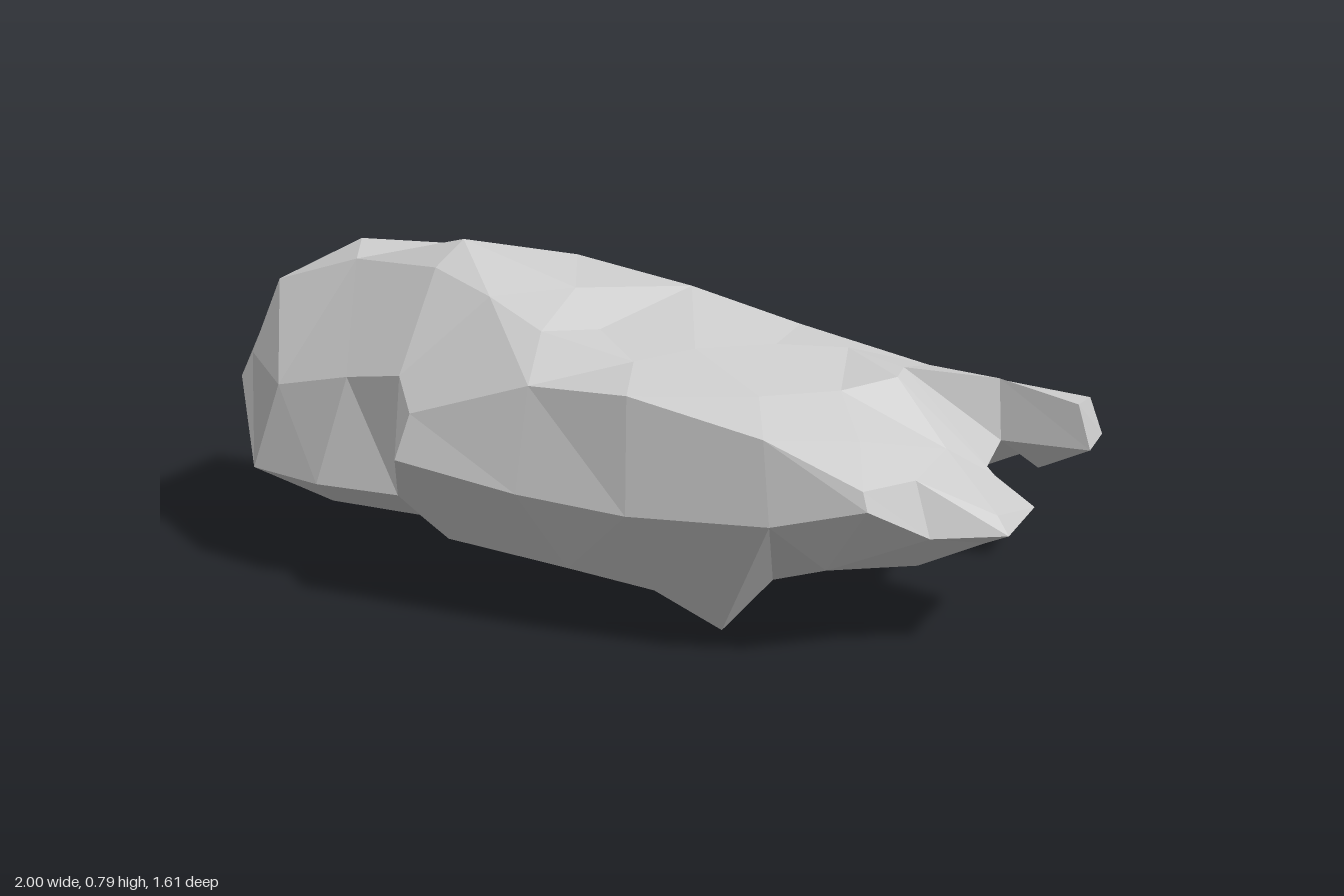
import * as THREE from 'three';

// Outline of the rock: x, z, height of the lower edge, inset scale and height of the upper edge
const RIM = [
  [-1, -.52, .35, .93, .52], [-.81, -.68, .4, .98, .52], [-.57, -.58, .3, .97, .42],
  [-.5, -.67, .36, .95, .48], [-.35, -.76, .33, .95, .4], [-.15, -.72, .28, .96, .36],
  [0, -.81, .25, .98, .31], [.2, -.71, .25, .98, .29], [.45, -.55, .25, .98, .28],
  [.62, -.43, .25, .98, .29], [.66, -.31, .24, .98, .33], [.85, -.13, .29, .99, .33],
  [.85, 0, .22, .98, .4], [1, .15, .31, .97, .4], [.93, .27, .31, .97, .42],
  [.74, .19, .32, .99, .47], [.63, .4, .3, .77, .54], [.72, .52, .27, .9, .33],
  [.6, .72, .28, .97, .32], [.43, .71, .28, .95, .4], [.27, .8, .38, .98, .42],
  [.08, .72, .33, .95, .51], [-.2, .56, .315, .93, .57], [-.42, .42, .33, .9, .56],
  [-.67, .26, .37, .94, .47], [-.66, .15, .25, .98, .53], [-.84, .04, .25, .9, .5],
  [-.98, -.11, .25, .93, .45], [-1, -.3, .42, .97, .48],
];

// Corners of the upper facets: x, y, z
const TOP = [
  [-.48, .79, -.06], [-.72, .72, -.2], [-.9, .65, -.32], [-.7, .73, -.37], [-.66, .65, -.5],
  [-.82, .6, -.5], [-.35, .51, -.6], [-.45, .71, -.35], [-.24, .7, .08], [-.34, .65, .26],
  [-.2, .63, .19], [0, .6, .28], [-.2, .71, -.2], [-.1, .57, -.45], [-.05, .43, -.65],
  [.05, .66, -.05], [.1, .59, -.3], [.2, .44, -.5], [.4, .42, -.35], [.3, .57, 0],
  [.2, .58, .2], [.35, .51, -.15], [.55, .43, -.15], [.6, .47, .05], [.38, .55, .15],
  [.78, .43, .1], [-.15, .6, .36], [.1, .55, .5], [.3, .47, .6], [.3, .53, .42],
  [.52, .41, .5], [.44, .54, .37], [-.55, .74, 0], [-.44, .7, .13], [-.52, .61, -.5],
  [-.25, .62, -.45], [-.2, .47, -.62],
];

// Corners of the lower facets: x, y, z
const BOTTOM = [
  [.03, 0, .46], [-.12, .1, .45], [.14, .12, .48], [-.1, .1, .3], [-.3, .11, .1], [-.3, .13, .36],
  [-.6, .13, -.05], [-.8, .16, -.1], [-.55, .15, .18], [-.85, .2, -.4], [-.75, .22, -.55],
  [-.55, .14, -.4], [.3, .11, .4], [.45, .16, .55], [.58, .23, .62], [.22, .2, .65],
  [.6, .14, -.02], [.85, .23, .14], [.4, .14, -.3], [.15, .17, -.55], [0, .2, -.68],
];

// Diagonal groove under the rock: its back lip, its roof and its front lip
for (let i = 0; i < 9; i++) {
  const s = -.4 + i * .125, rise = (s + .1) ** 2;
  for (const [d, y, shift] of [[.32, .09 + .2 * rise, 0], [.19, .26, .03], [.1, .09 + .14 * rise, -.02]]) {
    BOTTOM.push([(d - s - shift) / Math.SQRT2, y, (-d - s - shift) / Math.SQRT2]);
  }
}

// Circle through three points, seen from above
function circle(a, b, c) {
  const bx = b[0] - a[0], bz = b[2] - a[2], cx = c[0] - a[0], cz = c[2] - a[2];
  const k = 2 * (bx * cz - bz * cx), b2 = bx * bx + bz * bz, c2 = cx * cx + cz * cz;
  const x = (cz * b2 - bz * c2) / k, z = (bx * c2 - cx * b2) / k;
  return { x: a[0] + x, z: a[2] + z, r2: x * x + z * z };
}

// Delaunay facets over a set of points, seen from above
function triangulate(points) {
  const frame = [[-40, 0, -31], [43, 0, -29], [1, 0, 52]];
  let triangles = [{ v: frame, o: circle(...frame) }];
  for (const p of points) {
    const edges = [];
    triangles = triangles.filter(({ v, o }) => {
      if ((p[0] - o.x) ** 2 + (p[2] - o.z) ** 2 >= o.r2) return true;
      for (let i = 0; i < 3; i++) edges.push([v[i], v[(i + 1) % 3]]);
      return false;
    });
    for (const [a, b] of edges) {
      if (edges.some(e => e[0] === b && e[1] === a)) continue;
      triangles.push({ v: [a, b, p], o: circle(a, b, p) });
    }
  }
  return triangles.map(t => t.v).filter(v => !v.some(p => frame.includes(p)));
}

function isInside(outline, x, z) {
  let inside = false;
  outline.forEach((a, i) => {
    const b = outline[(i + 1) % outline.length];
    if (a[2] > z !== b[2] > z && x < a[0] + (b[0] - a[0]) * (z - a[2]) / (b[2] - a[2])) inside = !inside;
  });
  return inside;
}

// Facets filling an outline, all facing up (1) or down (-1)
function cap(outline, inner, facing) {
  return triangulate([...outline, ...inner])
    .filter(([a, b, c]) => isInside(outline, (a[0] + b[0] + c[0]) / 3, (a[2] + b[2] + c[2]) / 3))
    .map(([a, b, c]) => {
      const up = (b[2] - a[2]) * (c[0] - a[0]) - (b[0] - a[0]) * (c[2] - a[2]);
      return up * facing > 0 ? [a, b, c] : [a, c, b];
    });
}

export function createModel() {
  const centre = -.05;
  const lower = RIM.map(([x, z, y]) => [x, y, z]);
  const upper = RIM.map(([x, z, , s, y]) => [centre + (x - centre) * s, y, centre + (z - centre) * s]);

  const facets = [...cap(upper, TOP, 1), ...cap(lower, BOTTOM, -1)];

  // Side wall between the two edges
  lower.forEach((a, i) => {
    const k = (i + 1) % lower.length;
    facets.push([a, upper[i], upper[k]], [a, upper[k], lower[k]]);
  });

  const geometry = new THREE.BufferGeometry();
  geometry.setAttribute('position', new THREE.Float32BufferAttribute(facets.flat(2), 3));
  geometry.computeVertexNormals();

  const rock = new THREE.Mesh(geometry, new THREE.MeshStandardMaterial({ color: 0xcccccc, flatShading: true }));
  rock.name = 'rock';
  const model = new THREE.Group();
  model.name = 'boulder';
  model.add(rock);
  return model;
}
